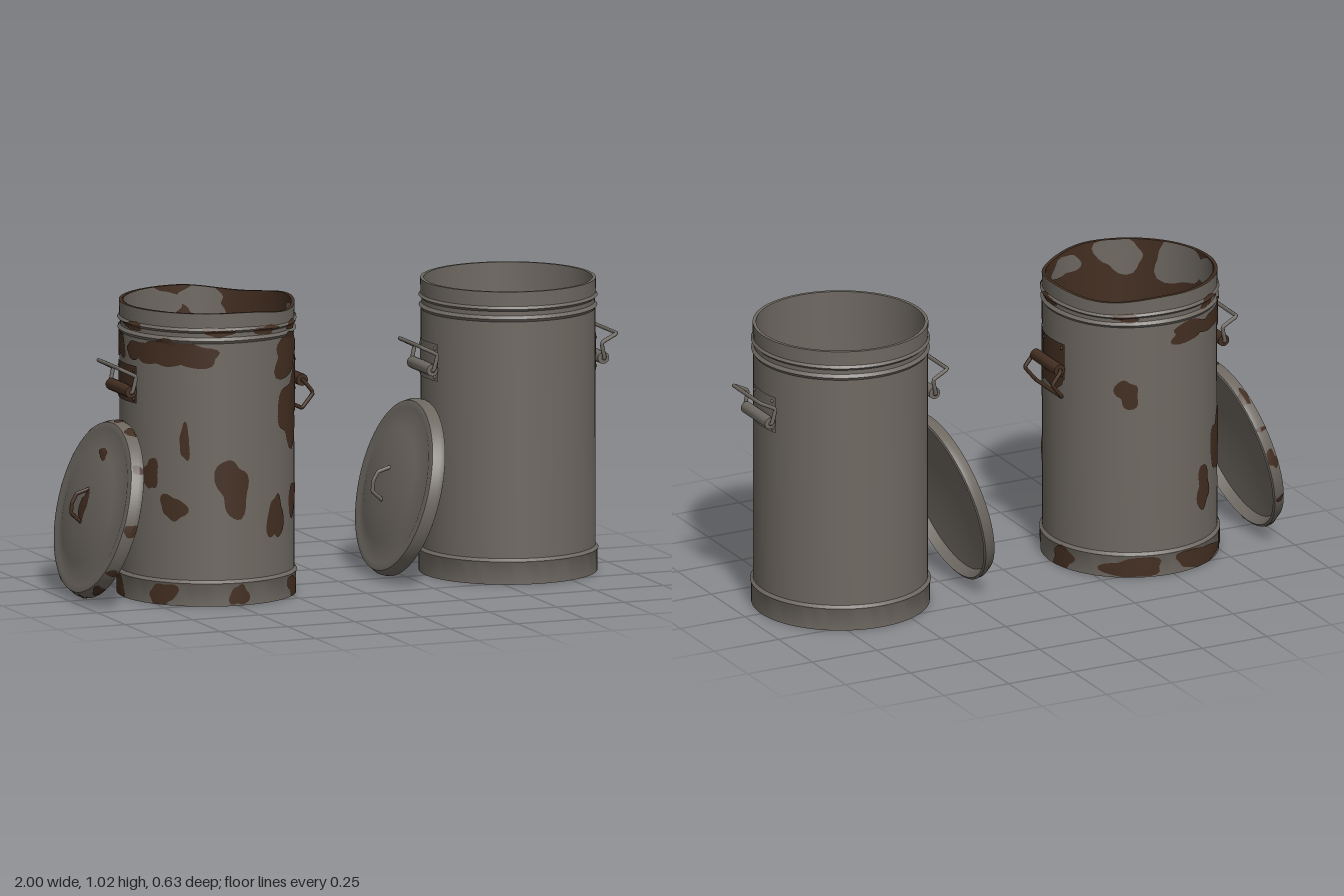
import * as THREE from 'three';
import { toCreasedNormals } from 'three/addons/utils/BufferGeometryUtils.js';

const mat = (name, color) => new THREE.MeshStandardMaterial({ name, color, side: THREE.DoubleSide });
const steel = mat('galvanised steel', 0x6e6861);
const rust = mat('rust', 0x432e21);

const V = (x, y, z) => new THREE.Vector3(x, y, z);
const rad = THREE.MathUtils.degToRad;

function add(parent, name, geometry, material) {
  const mesh = new THREE.Mesh(geometry, material);
  mesh.name = name;
  parent.add(mesh);
  return mesh;
}

// Profiles as [radius, height]
const OUTER = [[0, 0.005], [0.295, 0.005], [0.307, 0], [0.307, 0.072], [0.311, 0.08], [0.301, 0.09],
  [0.3, 0.915], [0.307, 0.925], [0.298, 0.936], [0.298, 0.951], [0.308, 0.96], [0.301, 0.969], [0.302, 1.02]];
const INNER = [[0.302, 1.02], [0.29, 1.02], [0.29, 0.05], [0, 0.05]];
const LID_TOP = [[0.302, 0], [0.31, 0.004], [0.31, 0.022], [0.298, 0.046], [0.275, 0.05],
  [0.262, 0.046], [0.2, 0.064], [0.1, 0.076], [0, 0.08]];
const LID_UNDER = [[0, 0.066], [0.2, 0.05], [0.285, 0.034], [0.302, 0]];

// Interpolates column b of a profile at value t of column a
function along(profile, a, b, t) {
  for (let i = 1; i < profile.length; i++) {
    const p = profile[i - 1], q = profile[i];
    const lo = Math.min(p[a], q[a]), hi = Math.max(p[a], q[a]);
    if (hi > lo && t >= lo && t <= hi) return p[b] + (q[b] - p[b]) * (t - p[a]) / (q[a] - p[a]);
  }
  return profile[profile.length - 1][b];
}

// Battered rim: sags at two places
function sag(p) {
  if (p.y > 0.9 && p.x > 0) {
    const az = Math.atan2(p.z, p.x);
    p.y -= 0.018 * Math.sin(2 * az) ** 2 * (p.y - 0.9) / 0.12;
  }
  return p;
}

function lathe(profile, warp) {
  const g = new THREE.LatheGeometry(profile.map(p => new THREE.Vector2(...p)), 64);
  if (warp) {
    const pos = g.attributes.position, p = V(0, 0, 0);
    for (let i = 0; i < pos.count; i++) {
      warp(p.fromBufferAttribute(pos, i));
      pos.setXYZ(i, p.x, p.y, p.z);
    }
  }
  return toCreasedNormals(g, 0.6);
}

function wire(points, radius) {
  const curve = new THREE.CatmullRomCurve3(points, false, 'catmullrom', 0.12);
  return new THREE.TubeGeometry(curve, 60, radius, 8);
}

// Irregular blob laid on a surface given by map(u, v)
function patch(map, u, v, du, dv, seed) {
  const rings = 8, n = 28, pos = [], idx = [];
  for (let r = 0; r <= rings; r++) for (let i = 0; i < n; i++) {
    const t = i / n * Math.PI * 2;
    const wobble = 1 + 0.18 * Math.sin(2 * t + seed * 1.7) + 0.13 * Math.sin(3 * t + seed * 2.9) + 0.08 * Math.sin(5 * t + seed * 4.1);
    const k = r / rings * wobble;
    pos.push(...map(u + du * k * Math.cos(t), v + dv * k * Math.sin(t)).toArray());
    if (r < rings) {
      const a = r * n + i, b = r * n + (i + 1) % n;
      idx.push(a, a + n, b, b, a + n, b + n);
    }
  }
  // Keep the winding facing away from the centre
  const e = 1e-3, o = map(u, v);
  const normal = map(u + e, v).sub(o).cross(map(u, v + e).sub(o));
  if (normal.dot(V(o.x, o.y * 0.2, o.z)) < 0) idx.reverse();
  const g = new THREE.BufferGeometry();
  g.setAttribute('position', new THREE.Float32BufferAttribute(pos, 3));
  g.setIndex(idx);
  g.computeVertexNormals();
  return g;
}

// Surfaces for blobs: can outside, can inside, lid dome, lid edge
const canWall = OUTER.slice(2), lidDome = LID_TOP.slice(4), lidEdge = LID_TOP.slice(1, 4);
const ring = (r, az, y) => V(r * Math.cos(az), y, r * Math.sin(az));
const onCan = (az, y) => {
  y = THREE.MathUtils.clamp(y, 0.002, 1.019);
  return sag(ring(along(canWall, 1, 0, y) + 0.003, az, y));
};
const inCan = (az, y) => sag(ring(0.287, az, Math.min(y, 1.02)));
const onLid = (x, z) => V(x, along(lidDome, 0, 1, Math.hypot(x, z)) + 0.003, z);
const onLidEdge = (az, y) => {
  y = THREE.MathUtils.clamp(y, 0.004, 0.045);
  return ring(along(lidEdge, 1, 0, y) + 0.003, az, y);
};

// Main rust blobs: [angle in degrees, height, half width, half height]
const BLOBS = [
  [95, 0.41, 0.055, 0.1], [61, 0.29, 0.038, 0.085], [37, 0.34, 0.045, 0.055], [127, 0.57, 0.02, 0.055],
  [135, 0.34, 0.045, 0.045], [152, 0.45, 0.03, 0.06], [45, 0.85, 0.1, 0.07], [44, 0.64, 0.08, 0.1],
  [16, 0.72, 0.13, 0.1], [220, 0.42, 0.055, 0.11], [241, 0.28, 0.04, 0.07], [299, 0.67, 0.04, 0.05]];

function rustCan(g) {
  const blob = (az, y, w, h, seed) => add(g, 'rustPatch', patch(onCan, rad(az), y, w / 0.3, h, seed), rust);
  BLOBS.forEach((b, i) => blob(...b, i));
  // Rust creeping down from the upper bead
  for (let i = 0; i < 7; i++) blob(122 + i * 22, 0.875, 0.07 + 0.02 * Math.cos(i), 0.042 + 0.015 * Math.sin(2 * i), i);
  for (let i = 0; i < 7; i++) {
    const k = Math.cos(i - 4);
    // Rust round the foot, and spots on the rim bead
    blob(40 + i * 51, 0.036, 0.07 + 0.04 * k, 0.04, i);
    blob(40 + i * 65, 0.955, 0.05, 0.018, i + 3);
    // Bare steel left inside the rim
    add(g, 'bareSteelInside', patch(inCan, rad(20 + i * 45), 0.965, (0.1 + 0.03 * k) / 0.29, 0.07 + 0.025 * k, i), steel);
  }
}

// Carrying handle on the +x side: plate, hinge barrel, rivets and swinging wire
function handle(swing, wireMat, plateMat) {
  const g = new THREE.Group();
  g.name = 'handle';
  const plate = new THREE.CylinderGeometry(0.305, 0.305, 0.13, 10, 1, true, Math.PI / 2 - 0.27, 0.54);
  add(g, 'handlePlate', plate, plateMat).position.y = 0.752;
  const barrel = add(g, 'hingeBarrel', toCreasedNormals(new THREE.CylinderGeometry(0.021, 0.021, 0.18, 14), 0.6), plateMat);
  barrel.rotation.x = Math.PI / 2;
  barrel.position.set(0.318, 0.73, 0);
  for (const z of [-0.065, 0.065]) for (const y of [0.7, 0.8]) {
    add(g, 'rivet', new THREE.SphereGeometry(0.006, 8, 6), plateMat).position.set(0.298, y, z);
  }
  const side = s => [V(0, 0, 0.08 * s), V(0, 0, 0.1 * s), V(-0.012, 0.055, 0.103 * s), V(0.04, 0.082, 0.1 * s), V(0.045, 0.085, 0.092 * s)];
  const loop = add(g, 'handleWire', wire([...side(-1), ...side(1).reverse()], 0.007), wireMat);
  loop.position.set(0.318, 0.73, 0);
  loop.rotation.z = swing;
  return g;
}

function lid(rusty) {
  const g = new THREE.Group();
  g.name = 'lid';
  add(g, 'lidTop', lathe(LID_TOP), steel);
  add(g, 'lidUnderside', lathe(LID_UNDER), steel);
  const grip = [[0.062, 0.07], [0.035, 0.115], [0, 0.125], [-0.035, 0.118], [-0.06, 0.07]];
  add(g, 'lidGrip', wire(grip.map(([x, y]) => V(x, y, 0)), 0.007), rusty ? rust : steel);
  if (rusty) {
    add(g, 'gripRust', patch(onLid, 0, 0, 0.05, 0.03, 0), rust);
    add(g, 'lidRust', patch(onLid, 0.19, 0.03, 0.02, 0.03, 2), rust);
    for (let i = 0; i < 12; i++) {
      const az = i * 0.524 + 0.15 * Math.sin(i * 5);
      add(g, 'lidEdgeRust', patch(onLidEdge, az, 0.024, 0.07 + 0.04 * Math.sin(i * 3), 0.02, i), rust);
    }
  }
  // Leans against the can
  g.position.set(-0.38, 0.31, 0);
  g.rotation.z = rad(75.5);
  return g;
}

function bin(name, x, rusty) {
  const g = new THREE.Group();
  g.name = name;
  const warp = rusty ? sag : null, aged = rusty ? rust : steel;
  add(g, 'canBody', lathe(OUTER, warp), steel);
  add(g, 'canInside', lathe(INNER, warp), aged);
  if (rusty) rustCan(g);
  const far = handle(0, steel, aged);
  far.rotation.y = Math.PI;
  g.add(handle(rusty ? rad(-155) : 0, aged, aged), far, lid(rusty));
  g.position.x = x;
  return g;
}

export function createModel() {
  const model = new THREE.Group();
  model.name = 'trashCans';
  model.add(bin('rustyCan', -0.49, true), bin('cleanCan', 0.63, false));
  return model;
}
